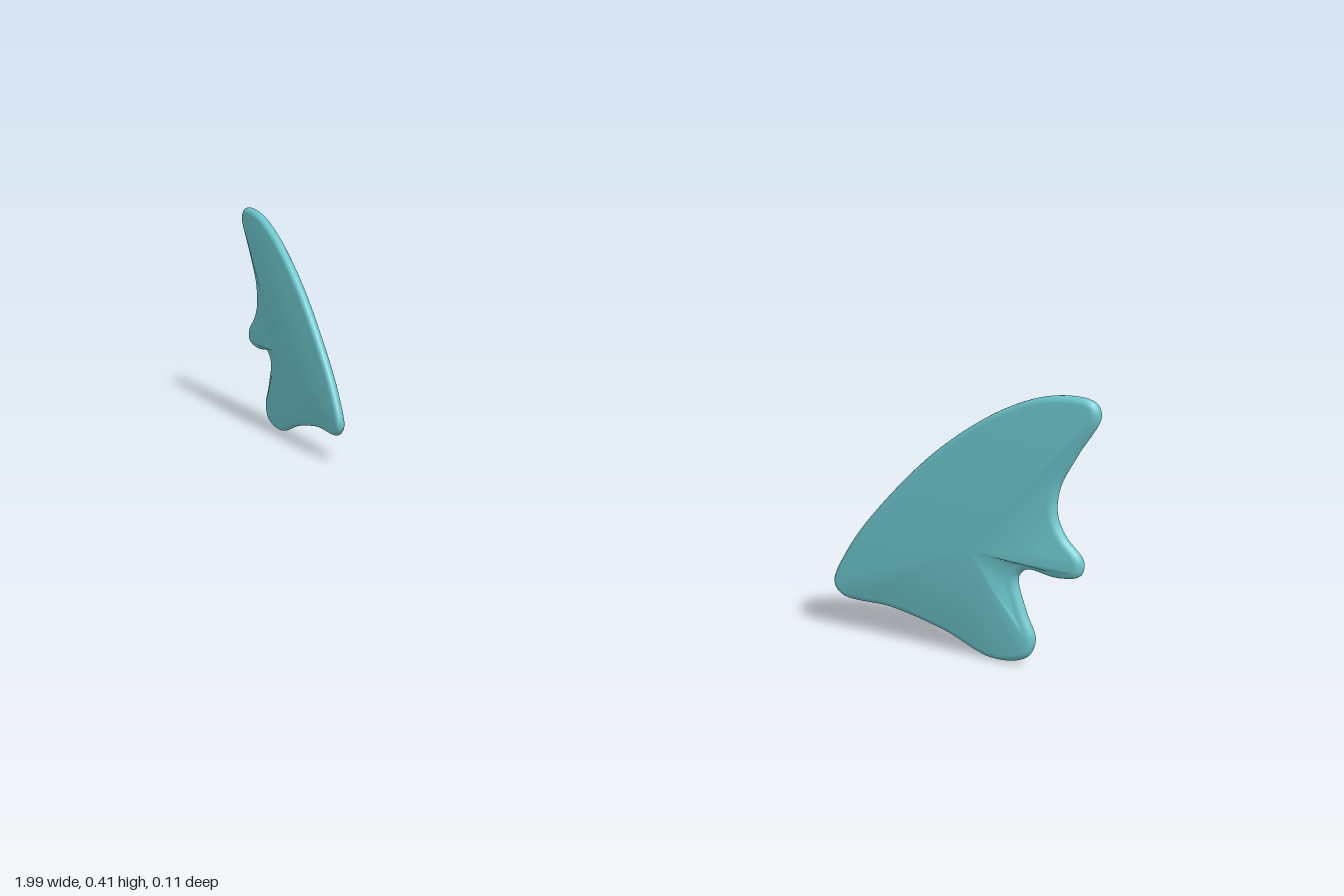
import * as THREE from 'three';

// Outline of the left fin, clockwise from the inner point over the tip
const OUTLINE = [
  [0.595, 0.075], [0.615, 0.13], [0.66, 0.2], [0.755, 0.31], [0.855, 0.387], [0.93, 0.417],
  [0.985, 0.415], [0.995, 0.395], [0.965, 0.335], [0.94, 0.28], [0.938, 0.24], [0.952, 0.21],
  [0.98, 0.178], [0.977, 0.155], [0.945, 0.147], [0.897, 0.151], [0.884, 0.135], [0.898, 0.085],
  [0.914, 0.045], [0.903, 0.016], [0.853, 0.005], [0.775, 0.033], [0.69, 0.052], [0.61, 0.056],
];
const CENTRE = new THREE.Vector2(0.82, 0.17);
const SEGMENTS = 200;
const RIM = 0.01; // radius of the rounded rim
const BULGE = 0.02; // half thickness at the centre

function finGeometry(side) {
  const curve = new THREE.CatmullRomCurve3(
    OUTLINE.map(([x, y]) => new THREE.Vector3(x, y, 0)), true, 'centripetal');

  // Rings of one face: { inset, scale, height }, from the rim edge to the centre
  const half = [];
  for (let i = 0; i <= 6; i++) {
    const a = (i / 6) * Math.PI / 2;
    half.push({ inset: RIM * (1 - Math.cos(a)), scale: 1, height: RIM * Math.sin(a) });
  }
  for (let i = 1; i <= 12; i++) {
    const t = 1 - i / 12.2;
    half.push({ inset: RIM, scale: t, height: RIM + (BULGE - RIM) * (1 - t * t) });
  }
  // Front face from centre to rim, then back face from rim to centre
  const rings = [...half].reverse();
  half.slice(1).forEach((r) => rings.push({ ...r, height: -r.height }));

  const positions = [];
  const index = [];
  // The fin sweeps backwards towards its outer side
  const add = (x, y, h) => positions.push(side * x, y, 0.047 - 0.23 * (x - 0.595) + h);
  const tri = (a, b, c) => (side > 0 ? index.push(a, b, c) : index.push(a, c, b));

  const edge = [];
  for (let j = 0; j < SEGMENTS; j++) {
    const p = curve.getPointAt(j / SEGMENTS);
    const d = curve.getTangentAt(j / SEGMENTS);
    edge.push({ x: p.x, y: p.y, nx: d.y, ny: -d.x });
  }
  for (const r of rings) {
    for (const e of edge) {
      const x = e.x + e.nx * r.inset;
      const y = e.y + e.ny * r.inset;
      add(CENTRE.x + (x - CENTRE.x) * r.scale, CENTRE.y + (y - CENTRE.y) * r.scale, r.height);
    }
  }
  const front = rings.length * SEGMENTS;
  const back = front + 1;
  add(CENTRE.x, CENTRE.y, BULGE);
  add(CENTRE.x, CENTRE.y, -BULGE);

  const last = (rings.length - 1) * SEGMENTS;
  for (let j = 0; j < SEGMENTS; j++) {
    const k = (j + 1) % SEGMENTS;
    tri(front, k, j);
    tri(back, last + j, last + k);
    for (let i = 0; i < rings.length - 1; i++) {
      const a = i * SEGMENTS;
      const b = a + SEGMENTS;
      tri(a + j, a + k, b + j);
      tri(a + k, b + k, b + j);
    }
  }

  const geometry = new THREE.BufferGeometry();
  geometry.setAttribute('position', new THREE.Float32BufferAttribute(positions, 3));
  geometry.setIndex(index);
  geometry.computeVertexNormals();
  return geometry;
}

export function createModel() {
  const group = new THREE.Group();
  group.name = 'finPair';
  const material = new THREE.MeshStandardMaterial({ color: 0x6cc6cc });
  for (const [name, side] of [['leftFin', 1], ['rightFin', -1]]) {
    const fin = new THREE.Mesh(finGeometry(side), material);
    fin.name = name;
    group.add(fin);
  }
  return group;
}
